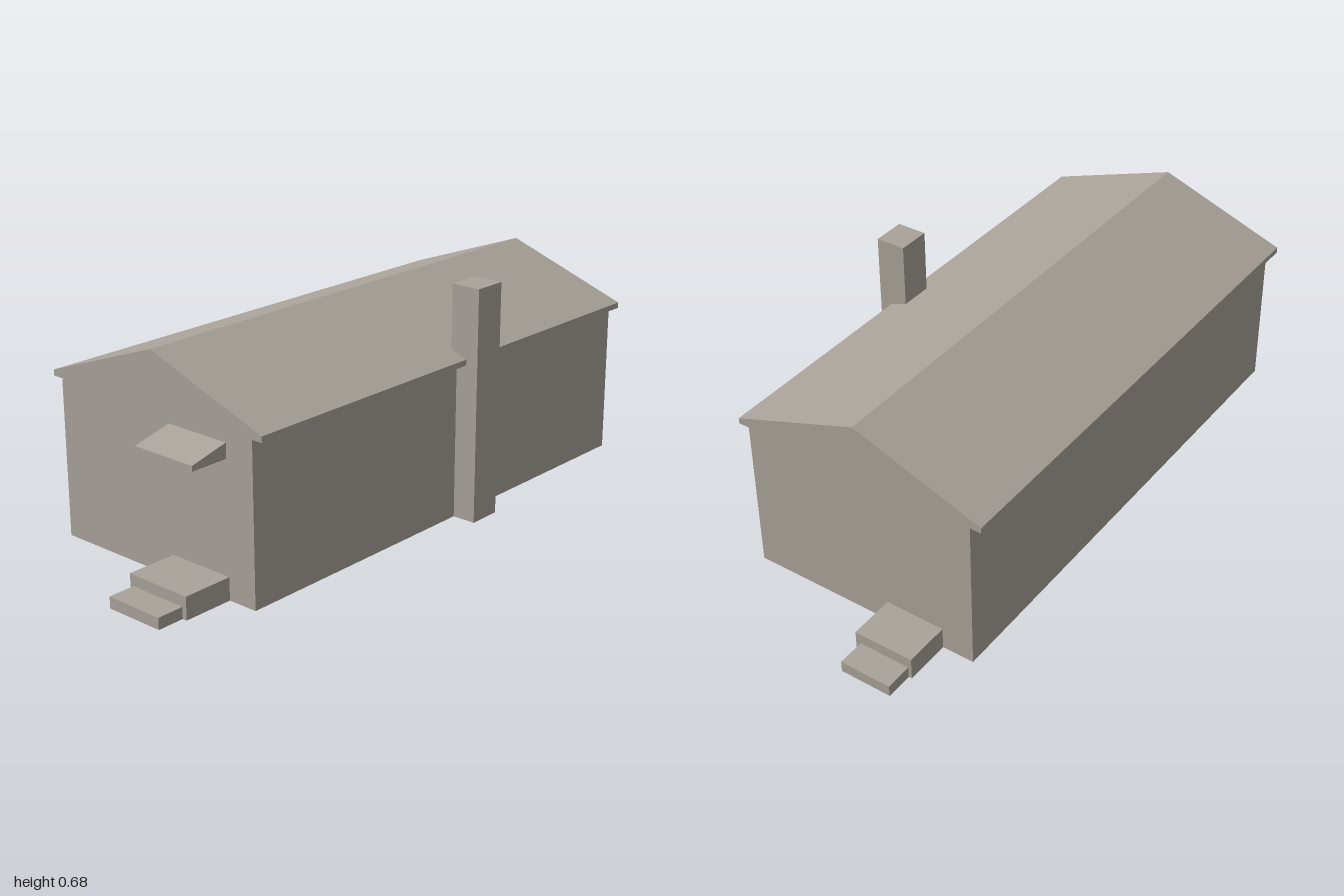
import * as THREE from 'three';

const stone = new THREE.MeshStandardMaterial({ color: 0xa9a39a, side: THREE.DoubleSide, flatShading: true });
stone.name = 'warm grey';

const FRONT = 0.77, BACK = -0.785;

function add(parent, name, geometry) {
  const mesh = new THREE.Mesh(geometry, stone);
  mesh.name = name;
  parent.add(mesh);
  return mesh;
}

// Box given by its limits, with the listed faces left out (0..5 = +x -x +y -y +z -z)
function openBox(x0, x1, y0, y1, z0, z1, omit) {
  const g = new THREE.BoxGeometry(x1 - x0, y1 - y0, z1 - z0);
  g.translate((x0 + x1) / 2, (y0 + y1) / 2, (z0 + z1) / 2);
  const index = Array.from(g.index.array);
  g.setIndex(index.filter((_, i) => !omit.includes(Math.floor(i / 6))));
  g.clearGroups();
  return g;
}

// Surface swept along z from an open outline running clockwise seen from the front
function sweep(points) {
  const pos = [];
  for (let i = 0; i < points.length - 1; i++) {
    const [ax, ay] = points[i], [bx, by] = points[i + 1];
    pos.push(ax, ay, FRONT, bx, by, FRONT, bx, by, BACK);
    pos.push(ax, ay, FRONT, bx, by, BACK, ax, ay, BACK);
  }
  const g = new THREE.BufferGeometry();
  g.setAttribute('position', new THREE.Float32BufferAttribute(pos, 3));
  g.computeVertexNormals();
  return g;
}

export function createModel() {
  const house = new THREE.Group();
  house.name = 'house';

  // Outline of the hollow shell: wall, boxed eave, ridge, eave, wall
  const outline = [
    [-0.376, 0], [-0.376, 0.457], [-0.41, 0.457], [-0.41, 0.474], [-0.02, 0.613],
    [0.37, 0.474], [0.37, 0.457], [0.337, 0.457], [0.337, 0],
  ];
  add(house, 'leftWall', sweep(outline.slice(7)));
  add(house, 'rightWall', sweep(outline.slice(0, 2)));
  add(house, 'roof', sweep(outline.slice(1, 8)));

  // Gable end walls
  const gable = new THREE.Shape(outline.map(([x, y]) => new THREE.Vector2(x, y)));
  add(house, 'frontWall', new THREE.ShapeGeometry(gable).translate(0, 0, FRONT));
  const mirrored = new THREE.Shape(outline.map(([x, y]) => new THREE.Vector2(-x, y)));
  add(house, 'backWall', new THREE.ShapeGeometry(mirrored).rotateY(Math.PI).translate(0, 0, BACK));

  // Chimney, open underneath
  add(house, 'chimney', openBox(0.318, 0.408, 0, 0.68, -0.13, -0.03, [3]));

  // Sloped awning over the front door: side profile extruded across x
  const side = new THREE.Shape([[0, 0.385], [0.115, 0.385], [0.115, 0.4], [0, 0.428]]
    .map(([z, y]) => new THREE.Vector2(-z, y)));
  const awning = new THREE.ExtrudeGeometry(side, { depth: 0.206, bevelEnabled: false });
  awning.rotateY(Math.PI / 2).translate(0.04, 0, FRONT);
  add(house, 'awning', awning);

  // Two-tread steps at each end, hollow below and towards the house
  const frontSteps = new THREE.Group();
  frontSteps.name = 'frontSteps';
  add(frontSteps, 'upperStep', openBox(0.04, 0.246, 0, 0.065, FRONT, 0.92, [3, 5]));
  add(frontSteps, 'lowerStep', openBox(0.052, 0.232, 0, 0.033, 0.92, 1, [3, 5]));

  const backSteps = new THREE.Group();
  backSteps.name = 'backSteps';
  add(backSteps, 'upperStep', openBox(-0.28, -0.1, 0, 0.065, -0.92, BACK, [3, 4]));
  add(backSteps, 'lowerStep', openBox(-0.27, -0.115, 0, 0.033, -1, -0.92, [3, 4]));

  house.add(frontSteps, backSteps);
  return house;
}
